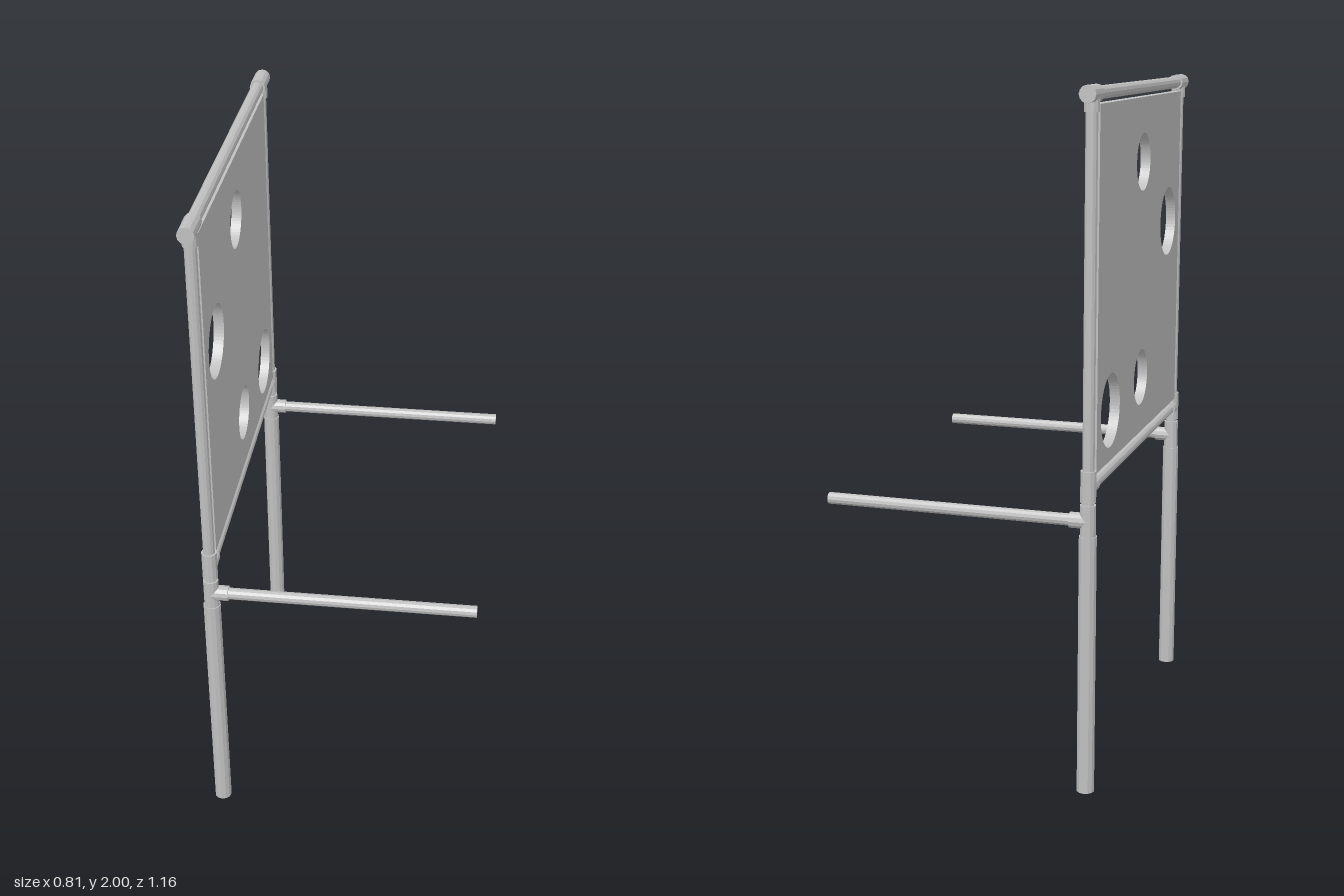
import * as THREE from 'three';

export function createModel() {
  const model = new THREE.Group();
  model.name = 'target frame';
  const grey = new THREE.MeshStandardMaterial({ color: 0xc0c0c0, flatShading: true });
  grey.name = 'pipe grey';
  const X = -0.38, Z = 0.533, ARM_Y = 0.808, RAIL_Y = 0.905, TOP_Y = 1.976;

  // capped pipe running from a to b
  function pipe(name, a, b, radius) {
    const from = new THREE.Vector3(...a), to = new THREE.Vector3(...b);
    const dir = to.clone().sub(from);
    const mesh = new THREE.Mesh(new THREE.CylinderGeometry(radius, radius, dir.length(), 12), grey);
    mesh.name = name;
    mesh.position.copy(from).add(to).multiplyScalar(0.5);
    mesh.quaternion.setFromUnitVectors(new THREE.Vector3(0, 1, 0), dir.normalize());
    model.add(mesh);
  }

  // uprights, arms and tee fittings, mirrored in z
  for (const s of [1, -1]) {
    const z = s * Z, side = s > 0 ? 'front' : 'back';
    pipe(`${side}Leg`, [X, 0, z], [X, 0.765, z], 0.026);
    pipe(`${side}ArmTee`, [X, 0.765, z], [X, 0.855, z], 0.023);
    pipe(`${side}ArmCollar`, [X, ARM_Y, z], [-0.328, ARM_Y, z], 0.023);
    pipe(`${side}Arm`, [X, ARM_Y, z], [0.4, ARM_Y, z], 0.0175);
    pipe(`${side}Post`, [X, 0.8, z], [X, TOP_Y, z], 0.0175);
    pipe(`${side}RailTee`, [X, 0.863, z], [X, 0.953, z], 0.023);
    pipe(`${side}RailCollar`, [X, RAIL_Y, z], [X, RAIL_Y, s * 0.485], 0.022);
    pipe(`${side}TopTee`, [X, TOP_Y, s * 0.58], [X, TOP_Y, s * 0.485], 0.024);
    pipe(`${side}TopCollar`, [X, TOP_Y, z], [X, 1.928, z], 0.022);
  }

  // cross rails
  pipe('bottomRail', [X, RAIL_Y, -Z], [X, RAIL_Y, Z], 0.0175);
  pipe('topRail', [X, TOP_Y, -Z], [X, TOP_Y, Z], 0.0185);

  // panel with four round holes, outlined in (z, y)
  const W = 0.503, T = 0.03;
  const shape = new THREE.Shape([[-W, 0.938], [W, 0.938], [W, 1.948], [-W, 1.948]]
    .map(([z, y]) => new THREE.Vector2(z, y)));
  for (const [z, y, r] of [[0.005, 1.76, 0.085], [0.35, 1.548, 0.107],
    [0.01, 1.11, 0.085], [-0.354, 1.086, 0.107]]) {
    shape.holes.push(new THREE.Path().absarc(z, y, r, 0, Math.PI * 2, true));
  }
  const geometry = new THREE.ExtrudeGeometry(shape, { depth: T, bevelEnabled: false, curveSegments: 32 });
  geometry.rotateY(-Math.PI / 2).translate(X + T / 2, 0, 0);
  const panel = new THREE.Mesh(geometry, grey);
  panel.name = 'panel';
  model.add(panel);

  return model;
}
